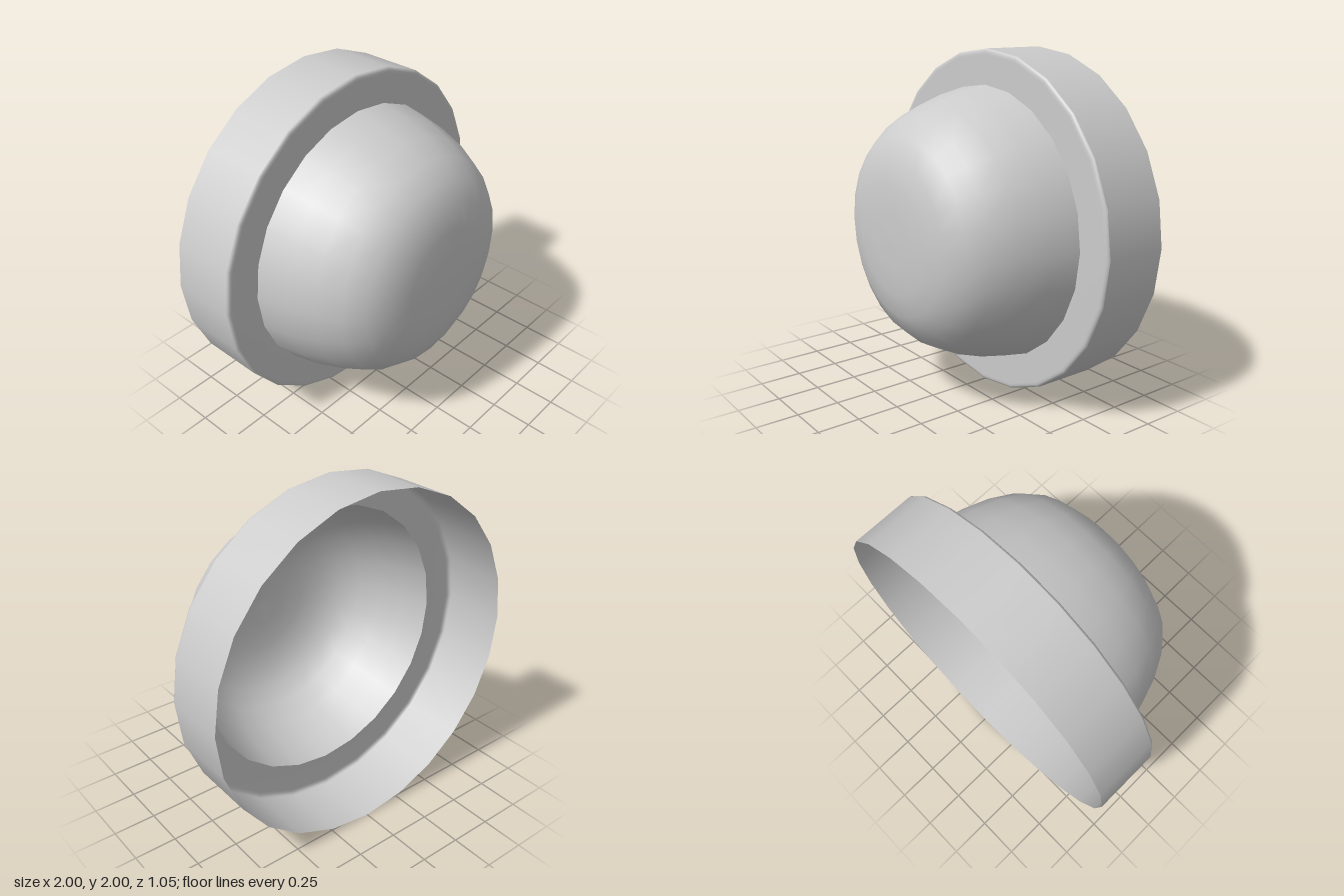
import * as THREE from 'three';

const SIDES = 24;

export function createModel() {
  const group = new THREE.Group();
  const material = new THREE.MeshStandardMaterial({ color: 0xcccccc, side: THREE.DoubleSide });

  // Open shell turned around the z axis from [radius, z] points, back to front
  function turned(name, profile) {
    const points = profile.map(([r, z]) => new THREE.Vector2(r, z));
    const geometry = new THREE.LatheGeometry(points, SIDES);
    geometry.rotateX(Math.PI / 2);
    const mesh = new THREE.Mesh(geometry, material);
    mesh.name = name;
    mesh.position.y = 1;
    group.add(mesh);
  }

  // Cylindrical band, open at the back
  turned('band', [[1, -0.525], [1, -0.145]]);

  // Flat ring with a softened outer edge
  turned('flange', [[1, -0.145], [0.996, -0.136], [0.985, -0.131], [0.97, -0.13], [0.8, -0.13]]);

  // Hollow dome with a flattened front
  turned('dome', [
    [0.8, -0.13], [0.765, 0.04], [0.712, 0.2], [0.645, 0.33], [0.56, 0.425],
    [0.445, 0.485], [0.31, 0.515], [0.16, 0.523], [0, 0.525],
  ]);

  return group;
}
